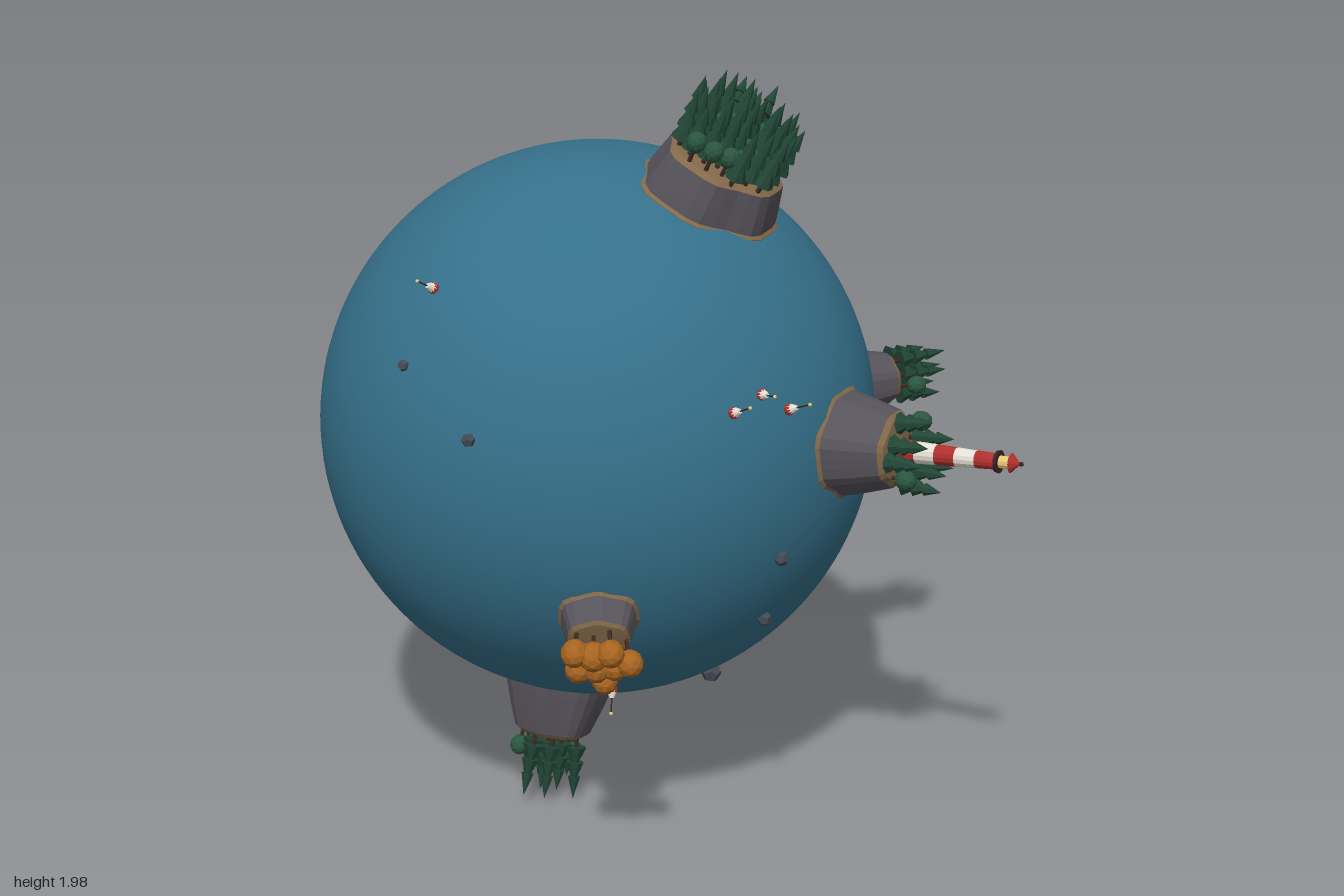
import * as THREE from 'three';

const CENTER = new THREE.Vector3(-0.16, 1.05, -0.087);
const R = 0.732;
const UP = new THREE.Vector3(0, 1, 0);

const mat = (color, flatShading = true) =>
  new THREE.MeshStandardMaterial({ color, flatShading, side: THREE.DoubleSide });
const M = {
  sea: mat(0x35708a, false), rock: mat(0x57535b), sand: mat(0x84694a), boulder: mat(0x444a52),
  green: mat(0x214636), leaf: mat(0x2a5640), trunk: mat(0x3a2a20), orange: mat(0xa8641f),
  red: mat(0xb0302c), white: mat(0xe6e0d6), dark: mat(0x3a2424), lamp: mat(0xe8c878),
};

let seed = 7;
const rnd = () => ((seed = (seed * 16807) % 2147483647) / 2147483647);

function add(parent, name, geometry, material, y = 0) {
  const m = new THREE.Mesh(geometry, material);
  m.name = name;
  m.position.y = y;
  parent.add(m);
  return m;
}

// Group at the planet's centre whose +y axis points outward along dir
function outward(parent, name, dir) {
  const g = new THREE.Group();
  g.name = name;
  g.quaternion.setFromUnitVectors(UP, new THREE.Vector3(...dir).normalize());
  parent.add(g);
  return g;
}

// Lathe with an irregular, ribbed outline
function craggy(points, phase) {
  const geo = new THREE.LatheGeometry(points.map(([r, y]) => new THREE.Vector2(r, y)), 30);
  const p = geo.attributes.position;
  for (let i = 0; i < p.count; i++) {
    const x = p.getX(i), z = p.getZ(i), a = Math.atan2(z, x);
    const k = 1 + 0.05 * Math.sin(3 * a + phase) + 0.035 * Math.sin(7 * a + phase * 2) + 0.025 * Math.cos(15 * a);
    p.setX(i, x * k);
    p.setZ(i, z * k);
  }
  geo.computeVertexNormals();
  return geo;
}

// Conifer: trunk and three stacked cones
function conifer(h) {
  const g = new THREE.Group();
  g.name = 'conifer';
  add(g, 'trunk', new THREE.CylinderGeometry(0.006, 0.007, h * 0.4, 5), M.trunk, h * 0.15);
  [[0.029, 0.36], [0.024, 0.6], [0.017, 0.83]].forEach(([r, y]) =>
    add(g, 'branches', new THREE.ConeGeometry(r, h * 0.36, 7), M.green, h * y));
  return g;
}

// Round-headed tree
function roundTree(h, r, leaves) {
  const g = new THREE.Group();
  g.name = 'roundTree';
  add(g, 'trunk', new THREE.CylinderGeometry(0.005, 0.006, h, 5), M.trunk, h / 2);
  add(g, 'crown', new THREE.IcosahedronGeometry(r, 1), leaves, h).scale.y = 1.1;
  return g;
}

// Rocky island with sandy shore, cliff and planted plateau
function island(parent, { name, dir, base, top, height, trees, treeH, inner = 0, autumn }, phase) {
  const g = outward(parent, name, dir);
  const y0 = Math.sqrt(R * R - base * base) - 0.015;
  const rise = height - y0;
  const at = (t) => [base + (top - base) * Math.pow(t, 1.15), y0 + rise * t];
  add(g, 'shore', craggy([[base * 1.03, y0 - 0.01], [base * 1.03, y0 + 0.014], [base * 0.96, y0 + 0.022]], phase), M.sand);
  add(g, 'cliff', craggy([0, 0.25, 0.5, 0.75, 0.93].map(at), phase), M.rock);
  add(g, 'plateau', craggy([at(0.93), [top * 0.9, height], [0.001, height + 0.006]], phase), M.sand);
  for (let i = 0; i < trees; i++) {
    const a = i * 2.39996 + phase;
    const r = top * (inner + (0.93 - inner) * Math.sqrt((i + 0.5) / trees));
    const edge = r / top;
    const t = autumn ? roundTree(0.06 + 0.03 * rnd(), 0.031 + 0.006 * rnd(), M.orange)
      : i % 4 === 3 ? roundTree(treeH * 0.35, 0.026, M.leaf)
        : conifer(treeH * (1.06 - 0.3 * edge * rnd()));
    t.position.set(r * Math.cos(a), height - 0.008, r * Math.sin(a));
    t.rotation.set(0.12 * edge * Math.sin(a), rnd() * 6, -0.12 * edge * Math.cos(a), 'XZY');
    g.add(t);
  }
  return g;
}

// Striped lighthouse
function lighthouse(parent, y) {
  const g = new THREE.Group();
  g.name = 'lighthouse';
  g.position.y = y;
  parent.add(g);
  const radius = (i) => 0.03 - i * 0.002;
  for (let i = 0; i < 5; i++)
    add(g, 'stripe', new THREE.CylinderGeometry(radius(i + 1), radius(i), 0.053, 14), i % 2 ? M.white : M.red, 0.0265 + i * 0.053);
  add(g, 'gallery', new THREE.CylinderGeometry(0.029, 0.027, 0.009, 14), M.dark, 0.269);
  add(g, 'lantern', new THREE.CylinderGeometry(0.016, 0.016, 0.032, 10), M.lamp, 0.288);
  add(g, 'roof', new THREE.ConeGeometry(0.025, 0.025, 12), M.red, 0.315);
  add(g, 'finial', new THREE.SphereGeometry(0.006, 8, 6), M.dark, 0.329);
}

// Floating buoy with a thin mast
function buoy(parent, dir, tilt) {
  const g = outward(parent, 'buoy', dir);
  const b = new THREE.Group();
  b.position.y = R;
  b.rotation.set(tilt, 0, tilt * 0.7);
  g.add(b);
  add(b, 'float', new THREE.SphereGeometry(0.015, 10, 8), M.red, 0.004);
  add(b, 'body', new THREE.CylinderGeometry(0.006, 0.014, 0.02, 10), M.white, 0.018);
  add(b, 'mast', new THREE.CylinderGeometry(0.002, 0.002, 0.045, 5), M.dark, 0.045);
  add(b, 'topmark', new THREE.SphereGeometry(0.005, 6, 5), M.lamp, 0.068);
}

export function createModel() {
  const model = new THREE.Group();
  model.name = 'islandPlanet';
  const planet = new THREE.Group();
  planet.name = 'planet';
  planet.position.copy(CENTER);
  model.add(planet);
  add(planet, 'ocean', new THREE.SphereGeometry(R, 96, 64), M.sea);

  const islands = [
    { name: 'forestIsland', dir: [0.31, 0.89, 0.32], base: 0.18, top: 0.15, height: 0.825, trees: 46, treeH: 0.18 },
    { name: 'highIsland', dir: [0.575, 0.7, -0.41], base: 0.165, top: 0.1, height: 0.905, trees: 18, treeH: 0.155 },
    { name: 'sideIsland', dir: [0.993, -0.01, -0.1], base: 0.098, top: 0.07, height: 0.88, trees: 9, treeH: 0.165 },
    { name: 'rearIsland', dir: [0.79, -0.26, -0.55], base: 0.13, top: 0.08, height: 0.9, trees: 11, treeH: 0.155 },
    { name: 'lighthouseIsland', dir: [0.663, 0.066, 0.745], base: 0.135, top: 0.092, height: 0.875, trees: 9, treeH: 0.13, inner: 0.5 },
    { name: 'autumnIsland', dir: [-0.27, -0.417, 0.868], base: 0.098, top: 0.075, height: 0.805, trees: 8, autumn: true },
    { name: 'bottomIsland', dir: [-0.185, -0.977, 0.09], base: 0.145, top: 0.095, height: 0.875, trees: 15, treeH: 0.165 },
  ];
  islands.forEach((spec, i) => {
    const g = island(planet, spec, i * 1.7);
    if (spec.name === 'lighthouseIsland') lighthouse(g, spec.height);
  });

  // Boulders: direction and size
  [
    [-0.59, 0.295, 0.317, 0.015], [-0.485, 0.16, 0.525, 0.018], [0.27, -0.19, 0.655, 0.02],
    [0.26, -0.385, 0.565, 0.02], [0.19, -0.605, 0.36, 0.028], [0.66, -0.08, 0.31, 0.018],
    [0.64, -0.37, -0.165, 0.035], [0.24, -0.13, -0.68, 0.024], [0.22, -0.29, -0.643, 0.025],
  ].forEach(([x, y, z, r]) =>
    add(outward(planet, 'boulder', [x, y, z]), 'stone', new THREE.DodecahedronGeometry(r), M.boulder, R + r * 0.2));

  // Buoys
  [
    [-0.505, 0.475, 0.267], [0.13, 0.215, 0.69], [0.215, 0.245, 0.66], [0.29, 0.195, 0.65],
    [-0.1, -0.595, 0.43], [0.04, -0.53, -0.51],
  ].forEach((d, i) => buoy(planet, d, i % 2 ? -0.18 : 0.18));

  return model;
}
